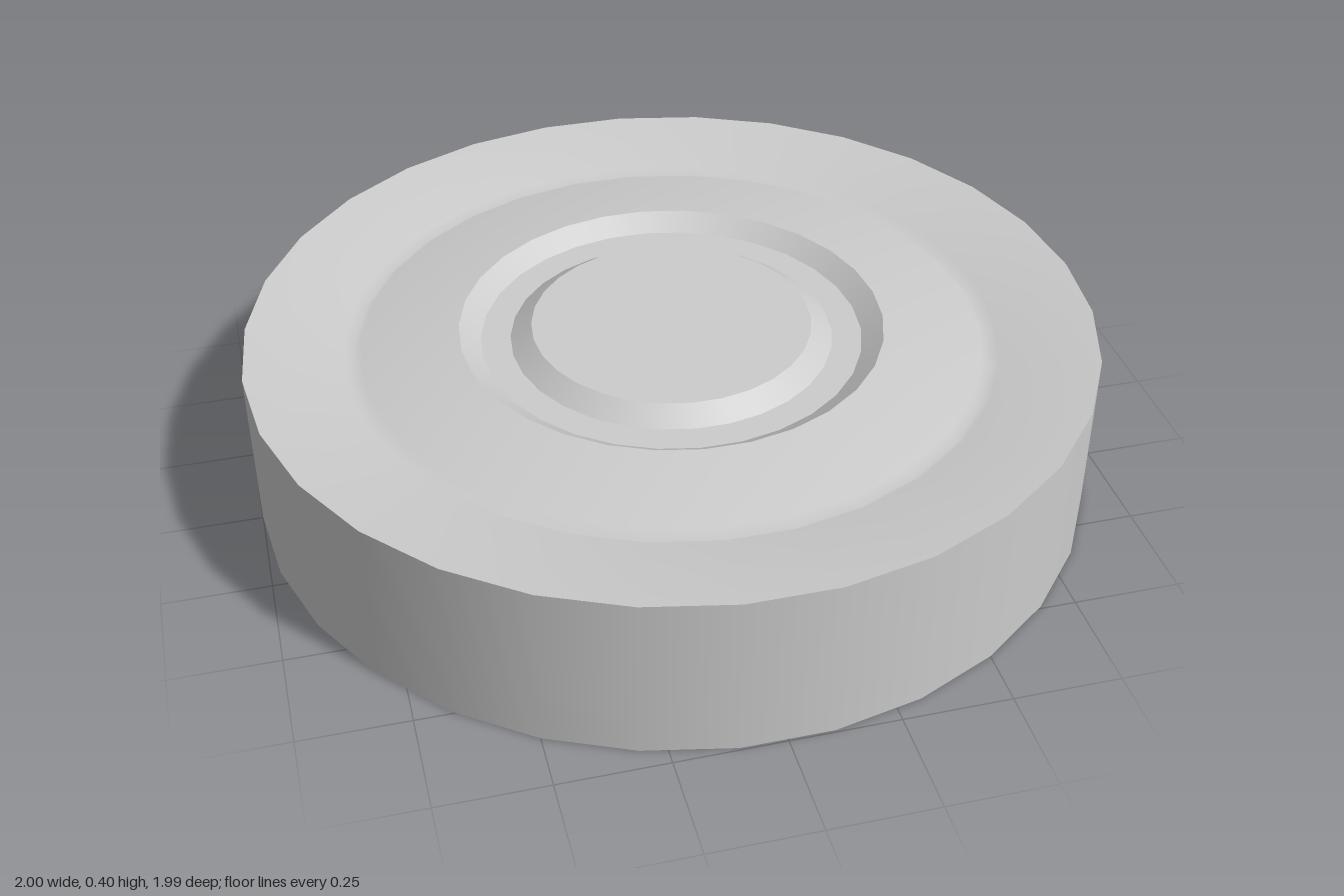
import * as THREE from 'three';

const SIDES = 30;

// Revolve a profile of [radius, height] points, smooth along its length
function revolve(name, profile, material) {
  const points = profile.map(([r, y]) => new THREE.Vector2(r, y));
  const mesh = new THREE.Mesh(new THREE.LatheGeometry(points, SIDES, Math.PI / 2), material);
  mesh.name = name;
  return mesh;
}

export function createModel() {
  const group = new THREE.Group();
  group.name = 'disc';
  const material = new THREE.MeshStandardMaterial({ color: 0xcccccc });

  // Each section is its own profile, so the edges between sections stay sharp
  const sections = {
    base: [[0, 0], [1, 0]],
    outerWall: [[1, 0], [1, 0.4]],
    // Shallow dished top with a narrow soft groove at its lowest point
    dishedTop: [[1, 0.4], [0.77, 0.37], [0.75, 0.352], [0.73, 0.37], [0.5, 0.4]],
    // Sharp ring channel around the middle
    channelOuterSlope: [[0.5, 0.4], [0.45, 0.365]],
    channelFloor: [[0.45, 0.365], [0.38, 0.365]],
    channelInnerSlope: [[0.38, 0.365], [0.33, 0.4]],
    centreDisc: [[0.33, 0.4], [0, 0.4]],
  };
  for (const [name, profile] of Object.entries(sections)) {
    group.add(revolve(name, profile, material));
  }
  return group;
}
